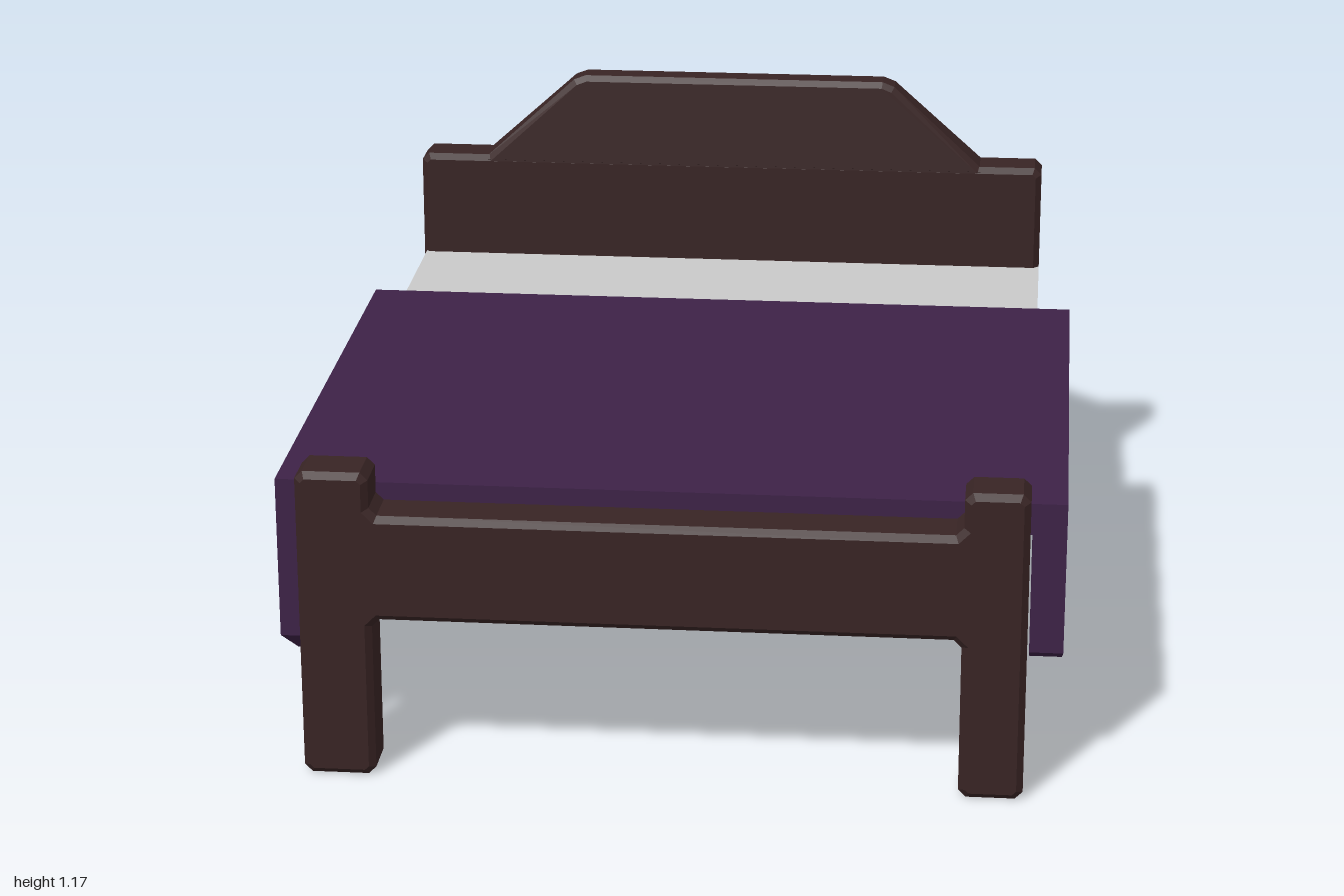
import * as THREE from 'three';

const mat = (name, color) => {
  const m = new THREE.MeshStandardMaterial({ color });
  m.name = name;
  return m;
};

// Closed outline with every corner cut by c
function chamferedShape(points, c) {
  const pts = points.map(([x, y]) => new THREE.Vector2(x, y));
  const out = [];
  pts.forEach((p, i) => {
    for (const q of [pts[(i + pts.length - 1) % pts.length], pts[(i + 1) % pts.length]]) {
      out.push(p.clone().add(q.clone().sub(p).setLength(c)));
    }
  });
  return new THREE.Shape(out);
}

// Board standing in the xy plane from z0 to z1, with bevelled edges
function board(points, z0, z1, bevel = 0.015, cut = 0.018) {
  const geo = new THREE.ExtrudeGeometry(chamferedShape(points, cut), {
    depth: z1 - z0 - 2 * bevel, bevelEnabled: true, bevelSegments: 1,
    bevelThickness: bevel, bevelSize: bevel, bevelOffset: -bevel,
  });
  return geo.translate(0, 0, z0 + bevel);
}

function box(x0, x1, y0, y1, z0, z1) {
  return new THREE.BoxGeometry(x1 - x0, y1 - y0, z1 - z0)
    .translate((x0 + x1) / 2, (y0 + y1) / 2, (z0 + z1) / 2);
}

export function createModel() {
  const wood = mat('dark wood', 0x382424);
  const purple = mat('purple blanket', 0x3d2247);
  const sheet = mat('light sheet', 0xc9c9c9);

  const bed = new THREE.Group();
  bed.name = 'bed';
  const add = (name, geo, material) => {
    const mesh = new THREE.Mesh(geo, material);
    mesh.name = name;
    bed.add(mesh);
  };

  // Outer and inner edges of the posts
  const L = -0.84, R = 0.824, l = -0.672, r = 0.676;
  const under = 0.39;

  // Headboard with its two legs
  add('headboard', board([
    [L, 0], [l, 0], [l, under], [r, under], [r, 0], [R, 0], [R, 0.945], [L, 0.945],
  ], -1, -0.88), wood);

  // Raised crest, thinner towards the top
  const crest = board([[-0.687, 0.92], [0.687, 0.92], [0.415, 1.167], [-0.415, 1.167]], -0.06, 0.06);
  const p = crest.attributes.position;
  for (let i = 0; i < p.count; i++) {
    p.setZ(i, p.getZ(i) * (1 - Math.max(0, p.getY(i) - 0.93) * 1.5));
  }
  crest.translate(0, 0, -0.94);
  crest.computeVertexNormals();
  add('headboardCrest', crest, wood);

  // Footboard: two posts joined by a rail
  add('footboard', board([
    [L, 0], [l, 0], [l, under], [r, under], [r, 0], [R, 0],
    [R, 0.748], [r, 0.748], [r, 0.645], [l, 0.645], [l, 0.748], [L, 0.748],
  ], 0.87, 1), wood);

  // Frame and mattress
  add('bedFrame', box(L + 0.003, R - 0.002, under + 0.003, 0.6, -0.9, 0.89), wood);
  add('mattress', box(-0.833, R, 0.6, 0.671, -0.9, 0.85), sheet);

  // Blanket top and the two hanging sides
  const back = -0.525, front = 0.857, top = 0.676;
  add('blanketTop', box(-0.845, 0.83, 0.6, top, back, front), purple);

  function flap(name, x0, x1, lower) {
    // Outline drawn with z to the left, then turned to face sideways
    const shape = new THREE.Shape(
      [[front, top], ...lower, [back, top]].map(([z, y]) => new THREE.Vector2(-z, y)));
    const geo = new THREE.ExtrudeGeometry(shape, { depth: x1 - x0, bevelEnabled: false });
    add(name, geo.rotateY(Math.PI / 2).translate(x0, 0, 0), purple);
  }
  flap('blanketSideLeft', 0.829, 0.907,
    [[front, 0.31], [0.535, 0.16], [-0.235, 0.195], [back, 0.285]]);
  flap('blanketSideRight', -0.912, -0.842,
    [[front, 0.285], [0.66, 0.17], [-0.235, 0.17], [back, 0.28]]);

  return bed;
}
